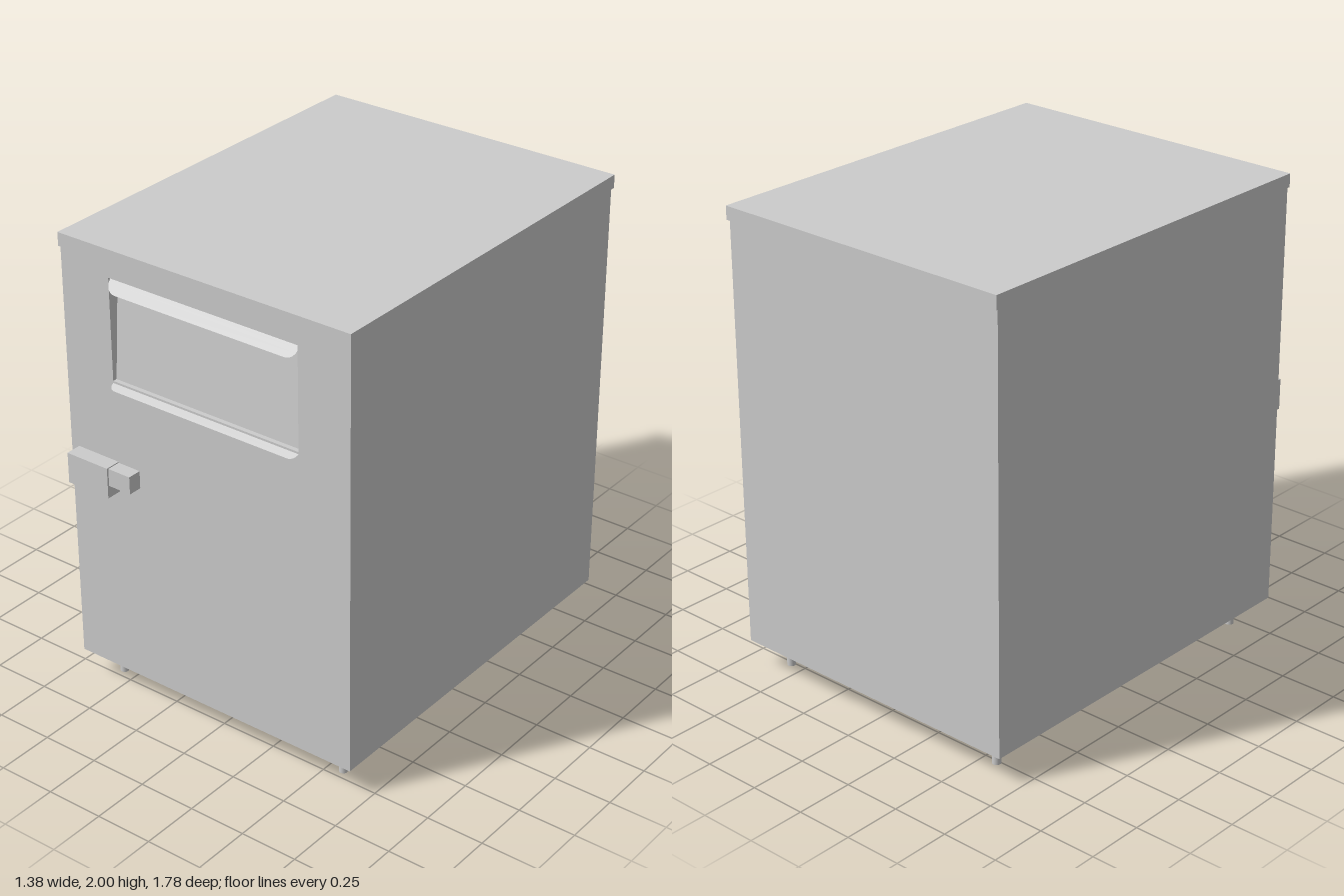
import * as THREE from 'three';

const material = new THREE.MeshStandardMaterial({ color: 0xcccccc });
const sheetMaterial = new THREE.MeshStandardMaterial({ color: 0xcccccc, side: THREE.DoubleSide });

// Window opening in the front wall
const HALF = 0.447, LOW = 1.443, HIGH = 1.878;

// Box given by its minimum and maximum corners
function box(name, [x0, y0, z0], [x1, y1, z1]) {
  const mesh = new THREE.Mesh(new THREE.BoxGeometry(x1 - x0, y1 - y0, z1 - z0), material);
  mesh.position.set((x0 + x1) / 2, (y0 + y1) / 2, (z0 + z1) / 2);
  mesh.name = name;
  return mesh;
}

// Thin sheet from one (y, z) line to another, with rounded outer corners
function sheet(name, [y0, z0], [y1, z1], radius) {
  const length = Math.hypot(y1 - y0, z1 - z0);
  const shape = new THREE.Shape();
  shape.moveTo(-HALF, 0);
  shape.lineTo(HALF, 0);
  shape.lineTo(HALF, length - radius);
  if (radius) shape.absarc(HALF - radius, length - radius, radius, 0, Math.PI / 2);
  else shape.lineTo(HALF, length);
  shape.lineTo(-HALF + radius, length);
  if (radius) shape.absarc(-HALF + radius, length - radius, radius, Math.PI / 2, Math.PI);
  const mesh = new THREE.Mesh(new THREE.ShapeGeometry(shape, 8), sheetMaterial);
  mesh.position.set(0, y0, z0);
  mesh.rotation.x = Math.atan2(z1 - z0, y1 - y0);
  mesh.name = name;
  return mesh;
}

export function createModel() {
  const group = new THREE.Group();
  group.name = 'cabinet';

  // Cabinet and lid
  group.add(box('body', [-0.683, 0.117, -0.875], [0.683, 1.943, 0.76]));
  group.add(box('lid', [-0.688, 1.943, -0.887], [0.688, 2, 0.829]));

  // Front wall with the window cut out
  const wall = new THREE.Shape([[-0.683, 0.117], [0.683, 0.117], [0.683, 1.943], [-0.683, 1.943]]
    .map(([x, y]) => new THREE.Vector2(x, y)));
  wall.holes.push(new THREE.Path([[-HALF, LOW], [-HALF, HIGH], [HALF, HIGH], [HALF, LOW]]
    .map(([x, y]) => new THREE.Vector2(x, y))));
  const front = new THREE.Mesh(
    new THREE.ExtrudeGeometry(wall, { depth: 0.062, bevelEnabled: false }), material);
  front.position.z = 0.76;
  front.name = 'frontWall';
  group.add(front);

  // Leaning window panel with a lip above and below
  group.add(sheet('windowPanel', [LOW, 0.803], [HIGH, 0.77], 0));
  group.add(sheet('upperLip', [HIGH, 0.807], [1.825, 0.843], 0.045));
  group.add(sheet('lowerLip', [LOW, 0.803], [1.42, 0.852], 0.03));

  // Latch
  group.add(box('latchBody', [-0.645, 0.957, 0.822], [-0.44, 1.09, 0.89]));
  group.add(box('latchBolt', [-0.44, 1.01, 0.822], [-0.333, 1.086, 0.882]));

  // Legs
  for (const x of [-0.567, 0.567]) {
    for (const z of [0.709, -0.762]) {
      const leg = new THREE.Mesh(new THREE.CylinderGeometry(0.018, 0.018, 0.117, 16), material);
      leg.position.set(x, 0.0585, z);
      leg.name = 'leg';
      group.add(leg);
    }
  }
  return group;
}
